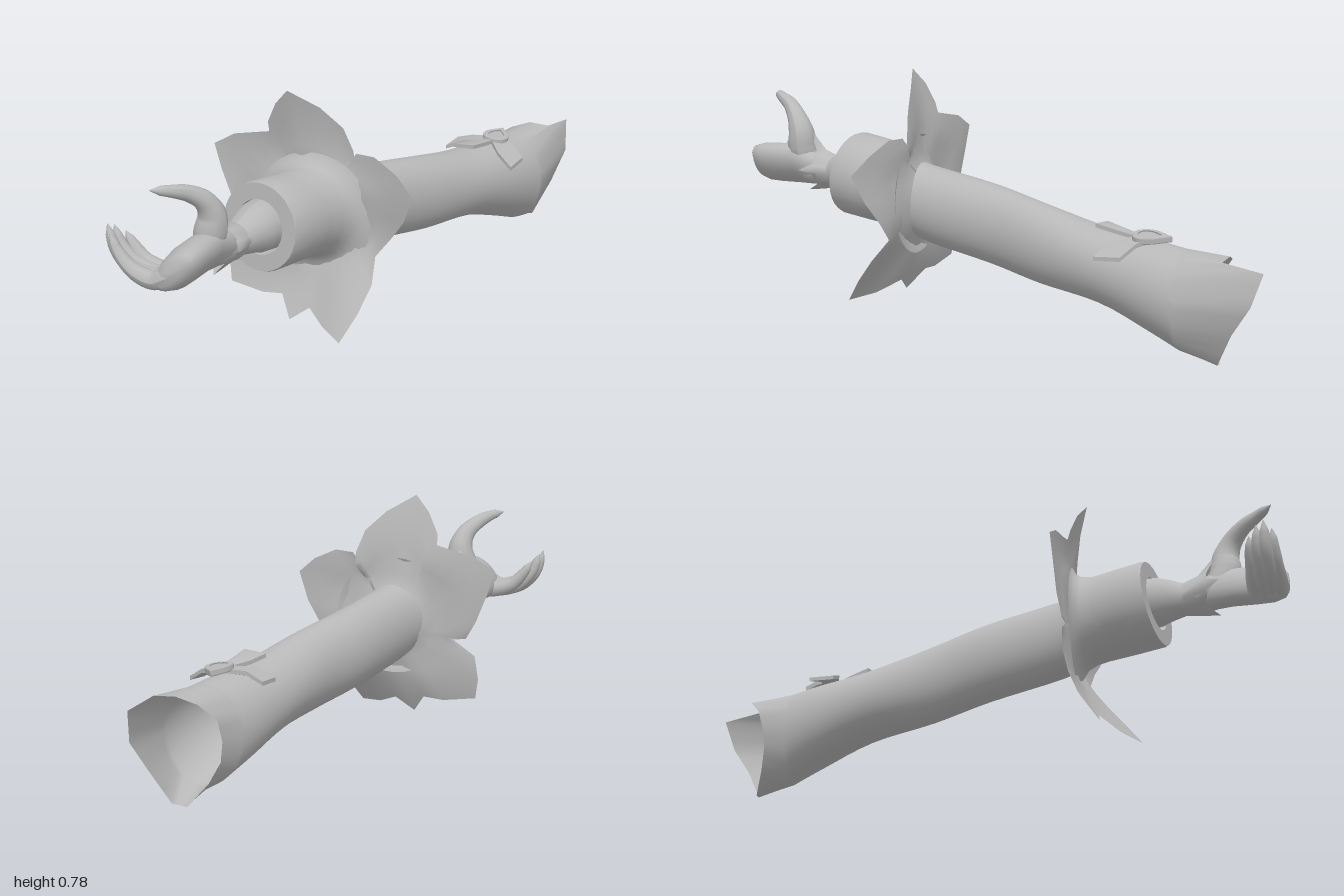
import * as THREE from 'three';
import { toCreasedNormals } from 'three/addons/utils/BufferGeometryUtils.js';

const grey = new THREE.MeshStandardMaterial({ color: 0xb8b8b8, side: THREE.DoubleSide });
grey.name = 'plain grey';

const V = (x, y, z) => new THREE.Vector3(x, y, z);

// Closed ring of n points given by a rule on the angle
const ring = (n, f) => Array.from({ length: n }, (_, j) => f(j / n * Math.PI * 2, j));

// Skin between closed rings that all have the same number of points
function loft(rings) {
  const n = rings[0].length, pos = [], idx = [];
  rings.forEach(r => r.forEach(p => pos.push(p.x, p.y, p.z)));
  for (let i = 0; i < rings.length - 1; i++) {
    for (let j = 0; j < n; j++) {
      const a = i * n + j, b = i * n + (j + 1) % n;
      idx.push(a, b, a + n, b, b + n, a + n);
    }
  }
  const g = new THREE.BufferGeometry();
  g.setAttribute('position', new THREE.Float32BufferAttribute(pos, 3));
  g.setIndex(idx);
  g.computeVertexNormals();
  return g;
}

// Tube along a curve whose radius follows the given list
function taper(points, radii, seg = 24, sides = 12) {
  const curve = new THREE.CatmullRomCurve3(points.map(p => V(...p)));
  const g = new THREE.TubeGeometry(curve, seg, 1, sides);
  const pos = g.attributes.position, v = V(0, 0, 0);
  for (let i = 0; i <= seg; i++) {
    const c = curve.getPointAt(i / seg);
    const f = (i / seg) * (radii.length - 1), k = Math.min(Math.floor(f), radii.length - 2);
    const r = THREE.MathUtils.lerp(radii[k], radii[k + 1], f - k);
    for (let j = 0; j <= sides; j++) {
      const q = i * (sides + 1) + j;
      v.fromBufferAttribute(pos, q).sub(c).multiplyScalar(r).add(c);
      pos.setXYZ(q, v.x, v.y, v.z);
    }
  }
  g.computeVertexNormals();
  return g;
}

// Sleeve stations: z, centre x, centre y, half width, half height
const SLEEVE = [
  [0.33, -0.035, 0.37, 0.112, 0.125],
  [0.25, -0.012, 0.347, 0.102, 0.13],
  [0.00, 0.057, 0.315, 0.10, 0.132],
  [-0.20, 0.135, 0.285, 0.103, 0.13],
  [-0.43, 0.207, 0.252, 0.12, 0.12],
  [-0.61, 0.265, 0.217, 0.13, 0.142],
  [-0.72, 0.302, 0.192, 0.126, 0.158],
];

// Ragged open end of the sleeve, one point every 30 degrees from the left side
const SLEEVE_END = [
  [0.44, 0.225, -0.965], [0.43, 0.33, -1.0], [0.40, 0.345, -0.865], [0.33, 0.348, -0.87],
  [0.265, 0.325, -0.86], [0.218, 0.27, -0.82], [0.21, 0.2, -0.8], [0.218, 0.135, -0.795],
  [0.252, 0.07, -0.81], [0.31, 0.002, -0.84], [0.357, 0.012, -0.845], [0.408, 0.125, -0.9],
].map(p => V(...p));

function sleeveGeometry() {
  const smooth = k => new THREE.SplineCurve(SLEEVE.map(s => new THREE.Vector2(s[0], s[k])));
  const curves = [1, 2, 3, 4].map(smooth);
  const rings = [];
  for (let i = 0; i <= 24; i++) {
    const [cx, cy, rx, ry] = curves.map(c => c.getPoint(i / 24).y);
    const z = curves[0].getPoint(i / 24).x;
    rings.push(ring(36, a => V(cx + rx * Math.cos(a), cy + ry * Math.sin(a), z)));
  }
  rings.push(ring(36, (a, j) => {
    const k = Math.floor(j / 3);
    return SLEEVE_END[k].clone().lerp(SLEEVE_END[(k + 1) % 12], (j % 3) / 3);
  }));
  return loft(rings);
}

// Petal edge, counter-clockwise as seen from the front
const PETALS = [
  [0.33, 0.495, 0.385], [0.265, 0.55, 0.35], [0.18, 0.59, 0.32], [0.113, 0.587, 0.3],
  [0.105, 0.55, 0.29], [0.10, 0.59, 0.29], [0.07, 0.665, 0.3], [0, 0.73, 0.32],
  [-0.095, 0.785, 0.355], [-0.145, 0.73, 0.33], [-0.18, 0.66, 0.31], [-0.18, 0.625, 0.3],
  [-0.23, 0.613, 0.29], [-0.31, 0.595, 0.28], [-0.385, 0.55, 0.27], [-0.36, 0.47, 0.275],
  [-0.32, 0.37, 0.28], [-0.285, 0.31, 0.29], [-0.24, 0.303, 0.3], [-0.315, 0.25, 0.295],
  [-0.327, 0.17, 0.297], [-0.315, 0.10, 0.312], [-0.2, 0.083, 0.325], [-0.13, 0.09, 0.33],
  [-0.085, 0.027, 0.38], [-0.02, 0.073, 0.37], [0.05, 0.04, 0.43], [0.13, 0.027, 0.495],
  [0.17, 0.107, 0.44], [0.195, 0.185, 0.38], [0.185, 0.26, 0.32], [0.24, 0.33, 0.33],
  [0.29, 0.40, 0.355],
];

function petalGeometry() {
  const c = V(-0.03, 0.372, 0);
  const inner = (r, z) => PETALS.map(([x, y]) =>
    V(x, y, 0).sub(c).setLength(r).add(c).setZ(z));
  const base = inner(0.15, 0.305);
  const edge = PETALS.map(p => V(...p));
  const mid = t => base.map((p, i) => {
    const q = p.clone().lerp(edge[i], t);
    q.z -= 0.01 * Math.sin(Math.PI * t);
    return q;
  });
  return loft([inner(0.105, 0.285), base, mid(0.33), mid(0.67), edge]);
}

// Flattened palm: z, centre x, centre y, half breadth, half thickness
const PALM = [
  [0.70, -0.142, 0.403, 0.048, 0.043], [0.76, -0.162, 0.405, 0.07, 0.052],
  [0.82, -0.18, 0.41, 0.088, 0.056], [0.90, -0.188, 0.408, 0.09, 0.056],
  [0.95, -0.19, 0.406, 0.088, 0.052], [0.985, -0.192, 0.406, 0.078, 0.04],
  [0.997, -0.194, 0.406, 0.06, 0.022], [1.0, -0.195, 0.406, 0.001, 0.001],
];

// Thin bow piece with a slightly domed top
function flap(...corners) {
  const low = corners.map(p => V(...p));
  const high = low.map(p => p.clone().setY(p.y + 0.013));
  const mid = r => r.reduce((s, p) => s.add(p), V(0, 0, 0)).multiplyScalar(1 / r.length);
  const m = mid(high), k = mid(low);
  m.y += 0.008;
  return toCreasedNormals(loft([low.map(() => k), low, high, high.map(() => m)]), 0.6);
}

export function createModel() {
  const model = new THREE.Group();
  const add = (name, geometry, parent = model) => {
    const m = new THREE.Mesh(geometry, grey);
    m.name = name;
    parent.add(m);
    return m;
  };

  add('sleeve', sleeveGeometry());
  add('petals', petalGeometry());

  // Trumpet-shaped cuff with a flat rim
  const profile = [[0.139, -0.19], [0.141, -0.1], [0.142, -0.01],
    [0.139, 0], [0.088, 0], [0.08, -0.12]].map(p => new THREE.Vector2(...p));
  const cuff = add('cuff', toCreasedNormals(new THREE.LatheGeometry(profile, 32), 0.7));
  cuff.position.set(-0.1, 0.412, 0.572);
  cuff.quaternion.setFromUnitVectors(V(0, 1, 0), V(-0.26, 0.1, 1).normalize());

  // Soft flare from the cuff into the petals
  const flare = [[0.43, -0.063, 0.398, 0.14], [0.37, -0.047, 0.392, 0.143],
    [0.335, -0.04, 0.386, 0.153], [0.315, -0.034, 0.38, 0.172], [0.305, -0.03, 0.375, 0.2]];
  add('cuffFlare', loft(flare.map(([z, x, y, r]) =>
    ring(32, a => V(x + r * Math.cos(a), y + r * Math.sin(a), z)))));

  // Wrist, gathered and pinched in the middle
  add('wrist', taper([[-0.095, 0.41, 0.5], [-0.115, 0.41, 0.6], [-0.14, 0.4, 0.69],
    [-0.165, 0.405, 0.76], [-0.185, 0.41, 0.84]], [0.088, 0.078, 0.05, 0.056, 0.05], 20, 16));

  // Pointed frill around the wrist, longest at the top
  const frill = (x, y, z, f) => ring(20, (a, j) => {
    const [r, dz] = f(j);
    return V(x + r * Math.cos(a), y + r * Math.sin(a), z + dz);
  });
  add('wristFrill', loft([
    frill(-0.135, 0.402, 0.66, () => [0.052, 0]),
    frill(-0.145, 0.406, 0.71, j => [j % 5 ? 0.06 : 0.07, 0]),
    frill(-0.16, 0.41, 0.74, j => j % 5 ? [0.062, 0] : [j === 5 ? 0.14 : 0.085, 0.04]),
  ]));

  const hand = new THREE.Group();
  hand.name = 'hand';
  model.add(hand);

  // Palm, tilted so it faces up and to the side
  const h = Math.SQRT1_2;
  add('palm', loft(PALM.map(([z, cx, cy, b, t]) => ring(20, a => {
    const u = b * Math.cos(a), w = t * Math.sin(a);
    return V(cx + (u - w) * h, cy + (u + w) * h, z);
  }))), hand);

  add('thumb', taper([[-0.175, 0.415, 0.78], [-0.158, 0.47, 0.8], [-0.149, 0.53, 0.803],
    [-0.162, 0.578, 0.825], [-0.195, 0.612, 0.865], [-0.235, 0.633, 0.92], [-0.275, 0.642, 0.957]],
  [0.045, 0.05, 0.052, 0.048, 0.042, 0.035, 0.03, 0.026, 0.023, 0.019, 0.015, 0.001], 33), hand);

  // Curled fingers side by side, the outer one longest
  for (let i = 0; i < 4; i++) {
    const z = 0.968 - i * 0.024, s = [0.02, 0, 0.01, 0.035][i], d = i * 0.004;
    add('finger' + (i + 1), taper([[-0.17, 0.415 - d, z - 0.01], [-0.225, 0.384 - d, z],
      [-0.285 + s, 0.367, z], [-0.355 + s, 0.388, z - 0.004],
      [-0.402 + s, 0.435, z - 0.008], [-0.428 + s, 0.51 - s, z - 0.01]],
    [0.034, 0.034, 0.033, 0.031, 0.029, 0.028, 0.026, 0.023, 0.021, 0.018, 0.014, 0.001], 33), hand);
  }

  const bow = new THREE.Group();
  bow.name = 'bow';
  model.add(bow);
  add('bowLeftLoop', flap([0.3, 0.358, -0.61], [0.35, 0.352, -0.58], [0.402, 0.318, -0.545],
    [0.388, 0.31, -0.455], [0.33, 0.345, -0.49], [0.29, 0.36, -0.55]), bow);
  add('bowRightLoop', flap([0.26, 0.362, -0.605], [0.2, 0.358, -0.6], [0.14, 0.335, -0.625],
    [0.126, 0.33, -0.54], [0.19, 0.358, -0.535], [0.26, 0.362, -0.555]), bow);
  add('bowTail', flap([0.265, 0.362, -0.57], [0.22, 0.368, -0.5], [0.19, 0.378, -0.435],
    [0.265, 0.385, -0.42], [0.28, 0.372, -0.5], [0.295, 0.362, -0.57]), bow);

  // Teardrop jewel in a raised setting
  const drop = new THREE.Shape();
  drop.moveTo(0, 0.075);
  drop.bezierCurveTo(0.012, 0.05, 0.042, 0.03, 0.04, -0.008);
  drop.bezierCurveTo(0.036, -0.053, -0.036, -0.053, -0.04, -0.008);
  drop.bezierCurveTo(-0.042, 0.03, -0.012, 0.05, 0, 0.075);
  const setting = { depth: 0.014, bevelEnabled: true, bevelSize: 0.004, bevelThickness: 0.004, bevelSegments: 2 };
  const rim = drop.clone();
  rim.holes.push(new THREE.Path(drop.getPoints(10).map(p => p.multiplyScalar(0.68))));
  const jewel = new THREE.Group();
  jewel.name = 'jewel';
  jewel.position.set(0.288, 0.368, -0.595);
  jewel.rotation.set(-Math.PI / 2, 0.12, 0);
  bow.add(jewel);
  add('jewelSetting', new THREE.ExtrudeGeometry(rim, setting), jewel);
  const stone = add('jewelStone', new THREE.ExtrudeGeometry(drop, { ...setting, depth: 0.01 }), jewel);
  stone.scale.set(0.6, 0.6, 1.1);

  return model;
}
